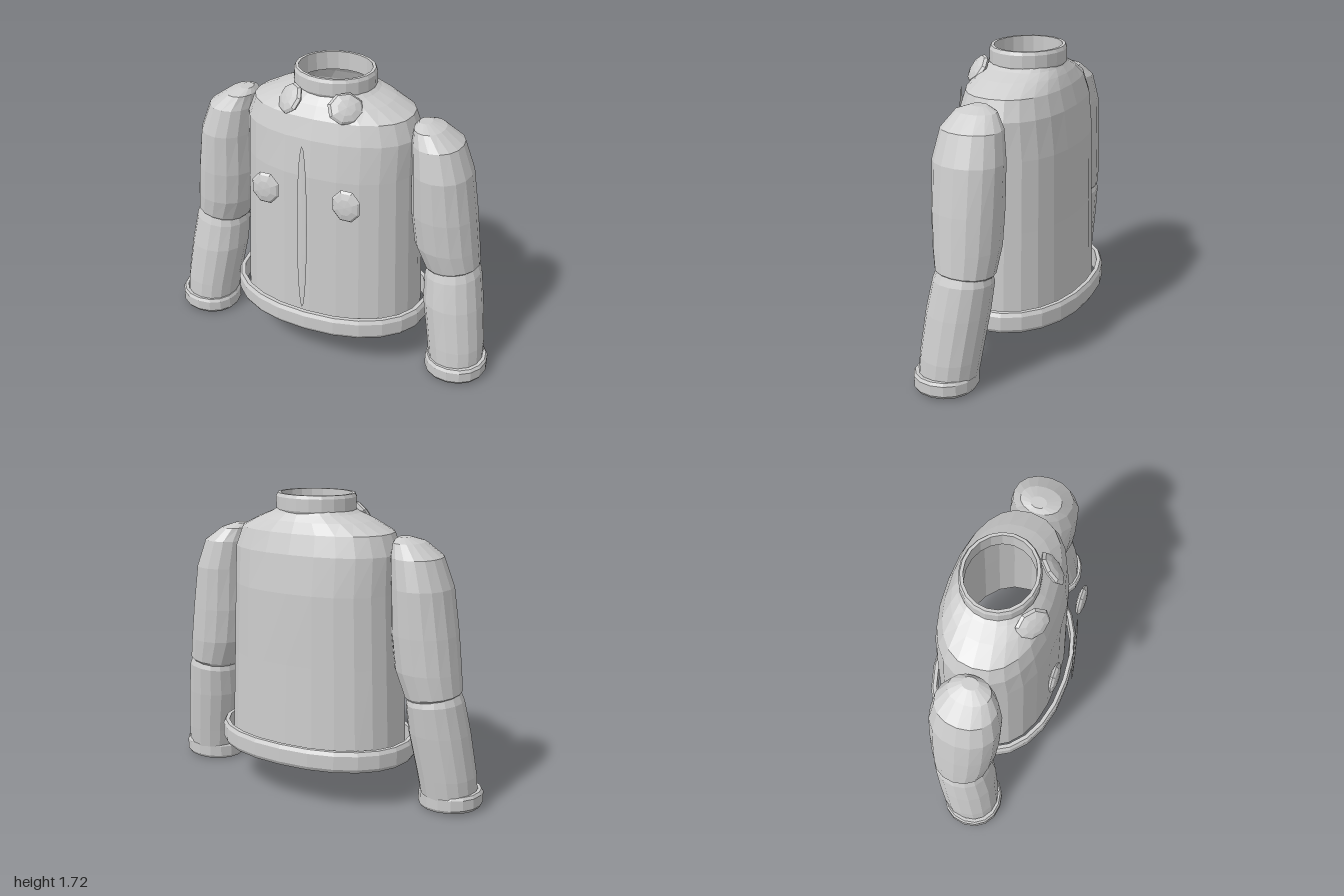
import * as THREE from 'three';

const cloth = new THREE.MeshStandardMaterial({ color: 0xcccccc, flatShading: true, side: THREE.DoubleSide });
cloth.name = 'greyCloth';

// Skin through rings listed bottom to top: [y, xMin, xMax, zMin, zMax, slopeX = 0, slopeZ = 0]
function loft(name, rings, sides, power = 2, capTop = false) {
  const pos = [], idx = [];
  const bend = v => Math.sign(v) * Math.pow(Math.abs(v), 2 / power);
  for (const [y, x0, x1, z0, z1, sx = 0, sz = 0] of rings) {
    for (let j = 0; j < sides; j++) {
      const t = (j / sides) * Math.PI * 2;
      const dx = bend(Math.cos(t)) * (x1 - x0) / 2, dz = bend(Math.sin(t)) * (z1 - z0) / 2;
      pos.push((x0 + x1) / 2 + dx, y + sx * dx + sz * dz, (z0 + z1) / 2 + dz);
    }
  }
  for (let i = 0; i < rings.length - 1; i++) {
    for (let j = 0; j < sides; j++) {
      const a = i * sides + j, b = i * sides + (j + 1) % sides;
      idx.push(a, a + sides, b, b, a + sides, b + sides);
    }
  }
  if (capTop) {
    const s = (rings.length - 1) * sides;
    for (let j = 1; j < sides - 1; j++) idx.push(s, s + j + 1, s + j);
  }
  const g = new THREE.BufferGeometry();
  g.setAttribute('position', new THREE.Float32BufferAttribute(pos, 3));
  g.setIndex(idx);
  g.computeVertexNormals();
  const m = new THREE.Mesh(g, cloth);
  m.name = name;
  return m;
}

// Hollow band with bevelled edges; box = [xMin, xMax, zMin, zMax]
function band(name, y0, y1, box, thick, sides, power, sx = 0, sz = 0) {
  const ring = (y, inset) =>
    [y, box[0] + inset, box[1] - inset, box[2] + inset, box[3] - inset, sx, sz];
  const b = (y1 - y0) * 0.18, e = thick * 0.35;
  return loft(name, [
    ring(y0, thick), ring(y0, e), ring(y0 + b, 0), ring(y1 - b, 0),
    ring(y1, e), ring(y1, thick), ring(y0, thick),
  ], sides, power);
}

// Flattened faceted disc facing a direction
function disc(name, size, position, normal) {
  const m = new THREE.Mesh(new THREE.SphereGeometry(1, 8, 6).rotateX(Math.PI / 2).rotateZ(Math.PI / 8).scale(...size), cloth);
  m.name = name;
  m.position.set(...position);
  m.lookAt(new THREE.Vector3(...position).add(new THREE.Vector3(...normal)));
  return m;
}

export function createModel() {
  const jacket = new THREE.Group();
  jacket.name = 'jacket';

  // Body shell, open at hem and neck
  jacket.add(loft('body', [
    [0.28, -0.535, 0.535, -0.365, 0.345],
    [0.8, -0.515, 0.515, -0.352, 0.328],
    [1.2, -0.5, 0.5, -0.345, 0.315],
    [1.41, -0.5, 0.5, -0.32, 0.288],
    [1.52, -0.46, 0.46, -0.287, 0.255],
    [1.58, -0.34, 0.34, -0.258, 0.215],
    [1.615, -0.25, 0.25, -0.235, 0.18],
    [1.64, -0.21, 0.21, -0.22, 0.155],
  ], 24, 2.3));

  // Hem and neck bands
  jacket.add(band('hemBand', 0.24, 0.36, [-0.6, 0.6, -0.43, 0.41], 0.035, 24, 2.2));
  jacket.add(band('neckBand', 1.615, 1.72, [-0.23, 0.23, -0.238, 0.182], 0.026, 20, 2));

  // Sleeves, chest buttons and collar tabs on both sides
  for (const [side, s] of [['left', 1], ['right', -1]]) {
    const flip = ([y, x0, x1, z0, z1, sx = 0, sz = 0]) =>
      s > 0 ? [y, x0, x1, z0, z1, sx, sz] : [y, -x1, -x0, z0, z1, -sx, sz];

    jacket.add(loft(side + 'UpperSleeve', [
      [0.65, 0.6, 0.87, -0.15, 0.14, 0.13, 0.05],
      [0.67, 0.575, 0.888, -0.168, 0.155, 0.1, 0.05],
      [0.8, 0.515, 0.875, -0.185, 0.18],
      [1.0, 0.49, 0.85, -0.19, 0.195],
      [1.25, 0.485, 0.81, -0.19, 0.2],
      [1.41, 0.475, 0.75, -0.165, 0.17],
      [1.485, 0.48, 0.645, -0.11, 0.12],
      [1.51, 0.5, 0.57, -0.045, 0.045],
    ].map(flip), 16, 2.1, true));

    jacket.add(loft(side + 'LowerSleeve', [
      [0.06, 0.66, 0.972, -0.095, 0.228],
      [0.2, 0.638, 0.965, -0.115, 0.22],
      [0.45, 0.592, 0.932, -0.148, 0.195],
      [0.62, 0.585, 0.9, -0.165, 0.162, 0.1],
      [0.67, 0.6, 0.88, -0.15, 0.145, 0.1],
      [0.72, 0.67, 0.82, -0.08, 0.08],
    ].map(flip), 16, 2.1, true));

    const cuff = s > 0 ? [0.64, 1, -0.1, 0.25] : [-1, -0.64, -0.1, 0.25];
    jacket.add(band(side + 'Cuff', 0.012, 0.107, cuff, 0.03, 16, 2.1, s * 0.04, -0.02));

    jacket.add(disc(side + 'Button', [0.086, 0.096, 0.025], [s * 0.24, 1.11, 0.365], [0, 0.05, 1]));
    jacket.add(disc(side + 'CollarTab', [0.1, 0.088, 0.03], [s * 0.16, 1.59, 0.2], [s * 0.55, 0.6, 0.65]));
  }

  // Slim front closure standing off the chest
  const closure = new THREE.Mesh(new THREE.SphereGeometry(1, 8, 10).scale(0.03, 0.505, 0.004), cloth);
  closure.name = 'frontClosure';
  closure.position.set(0, 0.925, 0.413);
  closure.rotation.x = -0.035;
  jacket.add(closure);

  return jacket;
}
